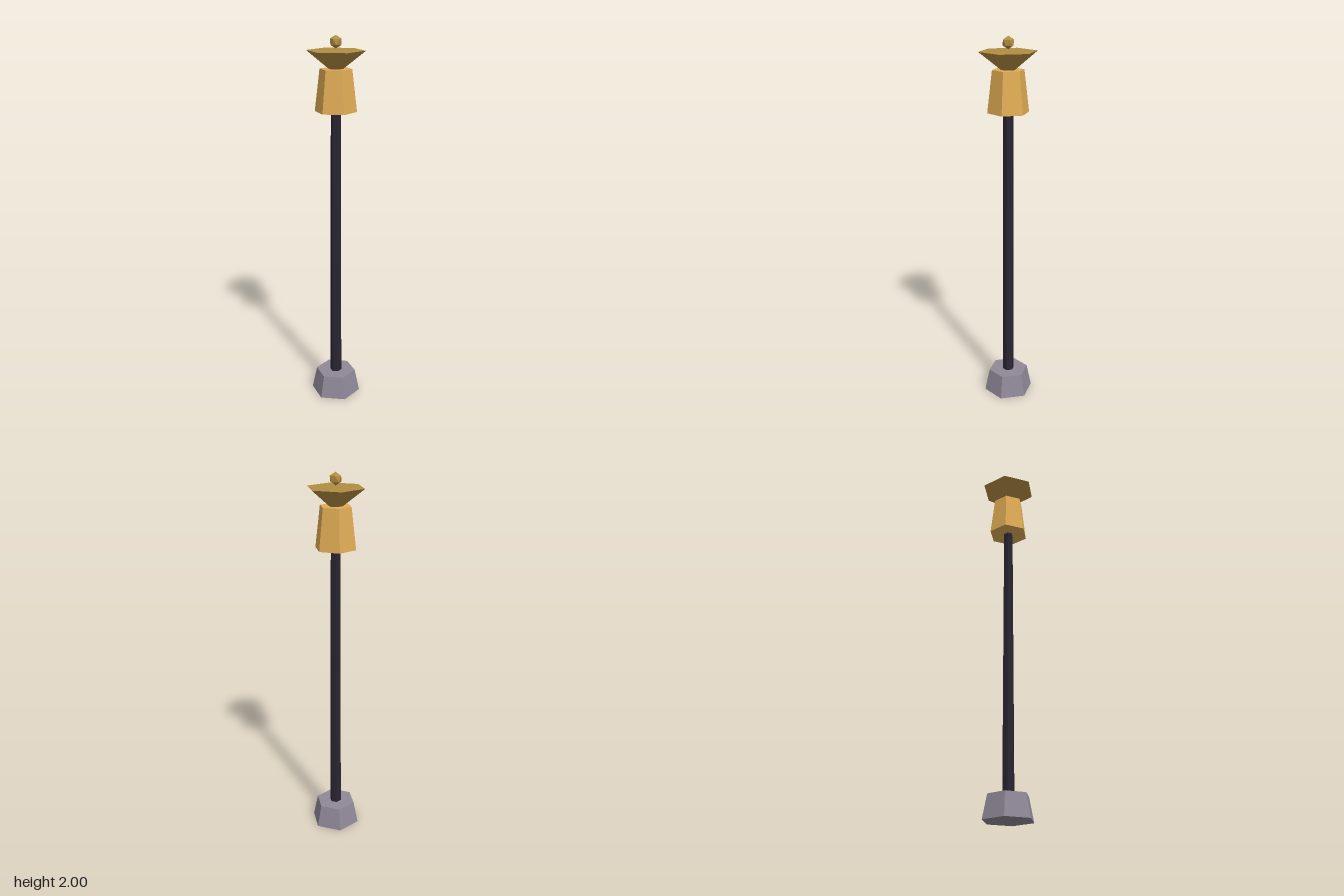
import * as THREE from 'three';

export function createModel() {
  const group = new THREE.Group();
  group.name = 'streetLamp';

  const paint = (color) => new THREE.MeshStandardMaterial({ color, flatShading: true });
  const stone = paint(0x8f8898);
  const iron = paint(0x2a2533);
  const glow = paint(0xe0ac55);
  const brass = paint(0xb38d42);

  // Six-sided tapered part between two heights, one corner facing the front
  function hexPart(name, rBottom, rTop, y0, y1, material) {
    const geometry = new THREE.CylinderGeometry(rTop, rBottom, y1 - y0, 6);
    const mesh = new THREE.Mesh(geometry, material);
    mesh.name = name;
    mesh.position.y = (y0 + y1) / 2;
    group.add(mesh);
  }

  hexPart('base', 0.136, 0.11, 0, 0.125, stone);
  hexPart('post', 0.032, 0.026, 0.1, 1.63, iron);
  hexPart('lantern', 0.109, 0.083, 1.62, 1.835, glow);
  // Upturned cone whose tip sinks into the lantern
  hexPart('roof', 0, 0.151, 1.805, 1.925, brass);

  // Finial: icosahedron standing on a corner
  const ball = new THREE.IcosahedronGeometry(0.033, 0);
  ball.rotateZ(-Math.atan2(2, 1 + Math.sqrt(5)));
  const finial = new THREE.Mesh(ball, brass);
  finial.name = 'finial';
  finial.position.y = 1.967;
  group.add(finial);

  return group;
}
